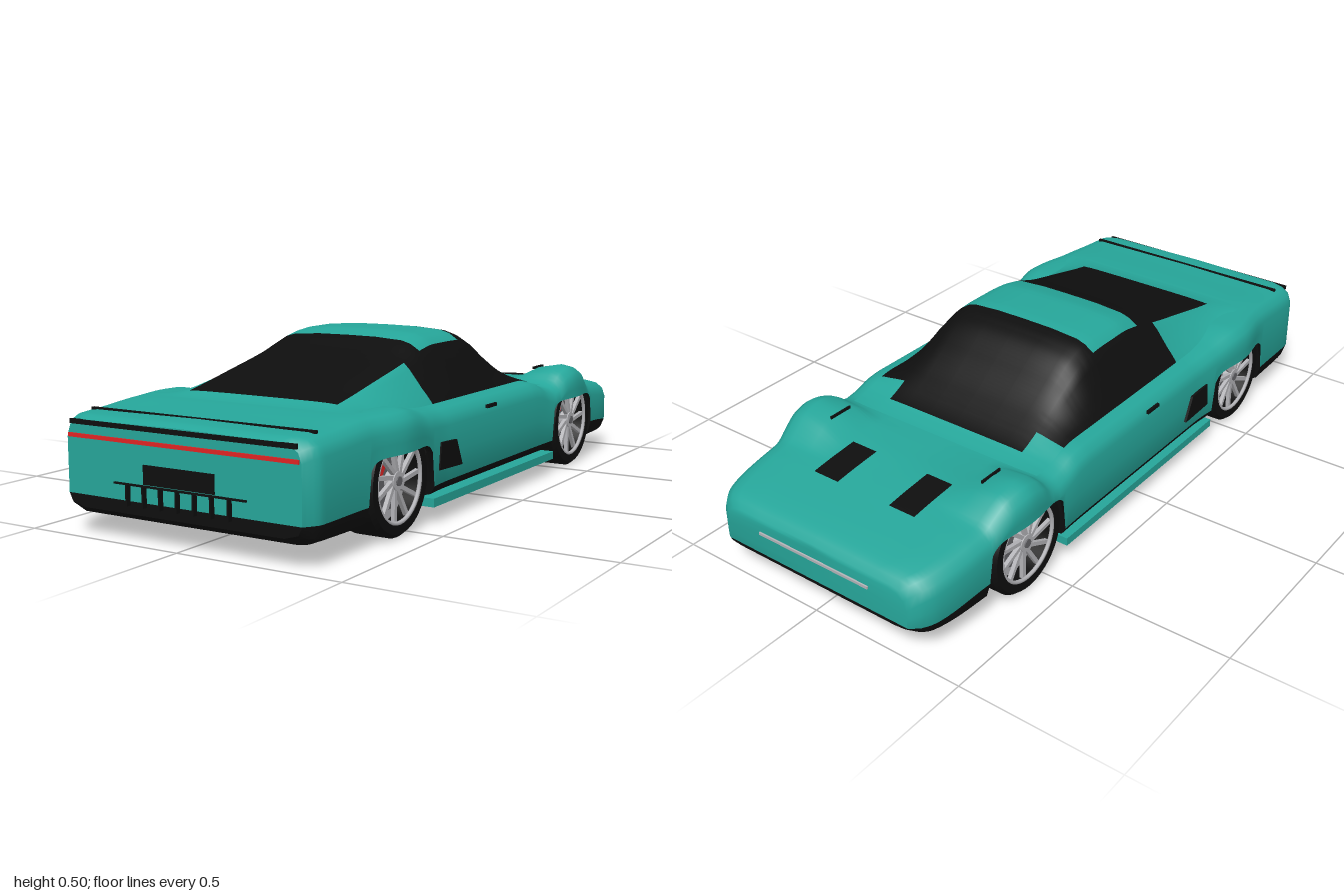
import * as THREE from 'three';
import { toCreasedNormals } from 'three/addons/utils/BufferGeometryUtils.js';

const mat = (name, color, side = THREE.FrontSide) => new THREE.MeshStandardMaterial({ name, color, side });
const teal = mat('teal paint', 0x26a69a, THREE.DoubleSide);
const black = mat('black trim', 0x0e0e0e, THREE.DoubleSide);
const red = mat('red', 0xe02424);
const silver = mat('silver', 0xb4b4b8);
const grey = mat('dark grey', 0x66666a);

// Smooth curve without overshoot through [z, value] pairs
function curve(p) {
  const slope = i => (p[i + 1][1] - p[i][1]) / (p[i + 1][0] - p[i][0]);
  const tangent = i => {
    if (i === 0 || i === p.length - 1) return slope(Math.min(i, p.length - 2));
    const a = slope(i - 1), b = slope(i);
    return a * b <= 0 ? 0 : 2 * a * b / (a + b);
  };
  return z => {
    let i = 0;
    while (i < p.length - 2 && z > p[i + 1][0]) i++;
    const h = p[i + 1][0] - p[i][0], t = THREE.MathUtils.clamp((z - p[i][0]) / h, 0, 1), u = 1 - t;
    return u * u * (1 + 2 * t) * p[i][1] + t * t * (3 - 2 * t) * p[i + 1][1]
      + h * t * u * (u * tangent(i) - t * tangent(i + 1));
  };
}

const width = curve([[-0.995, 0.33], [-0.98, 0.355], [-0.93, 0.385], [-0.85, 0.4], [-0.72, 0.41], [-0.58, 0.425],
  [-0.45, 0.414], [-0.3, 0.41], [0.3, 0.411], [0.42, 0.42], [0.57, 0.437], [0.72, 0.415], [0.94, 0.407], [0.985, 0.378]]);
const shoulder = curve([[-0.995, 0.205], [-0.98, 0.225], [-0.95, 0.238], [-0.8, 0.262], [-0.73, 0.272], [-0.69, 0.3],
  [-0.64, 0.33], [-0.58, 0.34], [-0.52, 0.325], [-0.47, 0.29], [-0.44, 0.283], [-0.4, 0.289], [-0.33, 0.311],
  [-0.28, 0.316], [0.3, 0.316], [0.42, 0.325], [0.55, 0.346], [0.7, 0.345], [0.85, 0.335], [0.96, 0.328], [0.985, 0.318]]);
const deck = curve([[-0.995, 0.207], [-0.98, 0.227], [-0.95, 0.24], [-0.8, 0.264], [-0.7, 0.276], [-0.58, 0.284],
  [-0.44, 0.284], [-0.4, 0.289], [-0.33, 0.311], [-0.28, 0.316], [0.3, 0.316], [0.42, 0.32], [0.57, 0.332],
  [0.68, 0.345], [0.85, 0.336], [0.96, 0.329], [0.985, 0.319]]);
const bottom = curve([[-0.995, 0.09], [-0.95, 0.065], [-0.76, 0.055], [-0.74, 0.055], [-0.42, 0.075], [0.41, 0.075],
  [0.73, 0.05], [0.9, 0.053], [0.96, 0.062], [0.985, 0.08]]);
const trimTop = curve([[-0.995, 0.1], [-0.75, 0.125], [-0.42, 0.11], [0.41, 0.11], [0.74, 0.118], [0.985, 0.115]]);
const roof = curve([[-0.46, 0.285], [-0.4, 0.3], [-0.3, 0.352], [-0.2, 0.425], [-0.12, 0.48], [-0.06, 0.5], [0, 0.505],
  [0.1, 0.505], [0.18, 0.492], [0.28, 0.458], [0.45, 0.41], [0.6, 0.367], [0.66, 0.352], [0.7, 0.345]]);

const axles = [0.57, -0.58];
// Height of the wheel opening, 0 away from the wheels
function arch(z) {
  for (const c of axles) {
    const t = Math.abs(z - c) / 0.165;
    if (t < 1) return 0.235 - 0.04 * t ** 8;
  }
  return 0;
}

// Skin over rows of points; colour(i, j) gives 0 teal, 1 black, -1 open
function skin(name, rows, colour) {
  const n = rows[0].length, faces = [[], []];
  for (let i = 0; i < rows.length - 1; i++) for (let j = 0; j < n - 1; j++) {
    const c = colour(i, j);
    if (c < 0) continue;
    const a = i * n + j, b = a + 1, d = a + n, e = d + 1;
    faces[c].push(a, b, d, b, e, d);
  }
  let g = new THREE.BufferGeometry();
  g.setAttribute('position', new THREE.Float32BufferAttribute(rows.flat(2), 3));
  g.setIndex([...faces[0], ...faces[1]]);
  g.addGroup(0, faces[0].length, 0);
  g.addGroup(faces[0].length, faces[1].length, 1);
  g = toCreasedNormals(g, 0.7);
  const m = new THREE.Mesh(g, [teal, black]);
  m.name = name;
  return m;
}
const mirrored = half => [...half, ...half.slice(0, -1).reverse().map(([x, y, z]) => [-x, y, z])];

function bodySection(z) {
  const w = width(z), s = shoulder(z), d = deck(z), b = bottom(z), a = arch(z), t = trimTop(z);
  const lift = y => Math.max(y, a), top = lift(s - 0.05), low = lift(t);
  return mirrored([
    [0, b, z], [a ? w - 0.02 : w * 0.86, lift(b), z], [a ? w - 0.01 : w * 0.97, lift(b + (t - b) * 0.35), z],
    [w, low, z], [w, (low + top) / 2, z], [w, top, z], [w - 0.01, s - 0.022, z], [w - 0.033, s - 0.006, z],
    [w - 0.065, s, z], [w - 0.14, d + (s - d) * 0.75, z], [w - 0.22, d, z], [0, d + 0.002, z]]);
}

function createBody() {
  const zs = [-0.995, -0.99];
  for (let k = -78; k <= 78; k++) zs.push(k * 0.0125);
  zs.push(0.98, 0.985);
  const rows = zs.map(bodySection), n = rows[0].length;
  // Flat ends: close each end section onto the centre line
  const flat = row => row.map(([, y, z]) => [0, y, z]);
  rows.unshift(flat(rows[0]));
  rows.push(flat(rows[rows.length - 1]));
  return skin('body', rows, (i, j) => {
    const k = Math.min(j, n - 2 - j);
    if (k === 0 && (arch(rows[i][0][2]) || arch(rows[i + 1][0][2]))) return -1;
    return k < 3 ? 1 : 0;
  });
}

function createCabin() {
  const xs = [0.345, 0.33, 0.31, 0.27, 0.25, 0.22, 0.19, 0.1, 0];
  const rise = [0, 0.14, 0.3, 0.66, 0.8, 0.91, 0.96, 0.995, 1];
  const rows = [];
  for (let k = -46; k <= 70; k++) {
    const z = k / 100, base = deck(z) + 0.002, h = Math.max(roof(z) - base, 0);
    rows.push(mirrored(xs.map((x, i) => [x, base + h * rise[i], z])));
  }
  return skin('cabin', rows, (i, j) => {
    const k = i - 46, side = Math.min(j, 15 - j) < 4;
    if (side) return k >= -33 && k < 28 ? 1 : 0;
    return (k >= -40 && k < -5) || (k >= 19 && k < 63) ? 1 : 0;
  });
}

// Wheel with its outer face towards +x
function createWheel(side) {
  const g = new THREE.Group();
  g.name = 'wheel';
  const add = (name, geo, m, x = 0, y = 0, z = 0) => {
    const o = new THREE.Mesh(geo, m);
    o.name = name;
    o.position.set(x, y, z);
    g.add(o);
    return o;
  };
  const drum = (r, l) => new THREE.CylinderGeometry(r, r, l, 40).rotateZ(-Math.PI / 2);
  const profile = [[0.118, -0.06], [0.143, -0.06], [0.153, -0.048], [0.153, 0.048], [0.143, 0.06], [0.118, 0.06], [0.118, -0.06]];
  const tyre = new THREE.LatheGeometry(profile.map(p => new THREE.Vector2(...p)), 48).rotateZ(-Math.PI / 2);
  add('tyre', toCreasedNormals(tyre, 0.6), black);
  add('rimBack', drum(0.1185, 0.06), silver, -0.025);
  add('brakeDisc', drum(0.085, 0.01), grey, 0.012);
  add('rimLip', new THREE.TorusGeometry(0.114, 0.006, 8, 48).rotateY(Math.PI / 2), silver, 0.054);
  add('hub', drum(0.026, 0.03), silver, 0.038);
  add('hubCap', drum(0.013, 0.006), grey, 0.054);
  add('brakeCaliper', new THREE.BoxGeometry(0.016, 0.04, 0.032), red, 0.026, 0.04, 0.058 * side).rotation.x = -0.65 * side;
  for (let i = 0; i < 11; i++) {
    const spoke = new THREE.Group();
    spoke.name = 'spoke';
    const bar = new THREE.Mesh(new THREE.BoxGeometry(0.012, 0.098, 0.012), silver);
    bar.position.set(0.044, 0.066, 0.01);
    bar.rotation.x = 0.28;
    spoke.add(bar);
    spoke.rotation.x = i * Math.PI * 2 / 11;
    g.add(spoke);
  }
  return g;
}

export function createModel() {
  const car = new THREE.Group();
  car.name = 'sportsCar';
  const box = (name, m, sx, sy, sz, x, y, z) => {
    const o = new THREE.Mesh(new THREE.BoxGeometry(sx, sy, sz), m);
    o.name = name;
    o.position.set(x, y, z);
    car.add(o);
    return o;
  };
  car.add(createBody(), createCabin());

  // Underside
  box('floor', black, 0.74, 0.02, 0.81, 0, 0.065, -0.005);
  for (const z of axles) box('axleFloor', teal, 0.52, 0.03, 0.35, 0, 0.1, z);

  for (const s of [1, -1]) {
    // Wheels and the liners behind them
    for (const z of axles) {
      const wheel = createWheel(s);
      wheel.position.set(s * 0.35, 0.155, z);
      if (s < 0) wheel.rotation.y = Math.PI;
      car.add(wheel);
      box('wheelLiner', black, 0.01, 0.2, 0.33, s * 0.27, 0.165, z);
    }
    // Side details
    box('sill', teal, 0.05, 0.025, 0.81, s * 0.392, 0.063, -0.005);
    box('doorHandle', black, 0.008, 0.01, 0.06, s * 0.411, 0.288, 0.04).geometry.computeBoundingBox();
    const vent = new THREE.Shape([[-0.37, 0.15], [-0.235, 0.145], [-0.27, 0.222], [-0.36, 0.227]].map(p => new THREE.Vector2(...p)));
    const sideVent = new THREE.Mesh(new THREE.ExtrudeGeometry(vent, { depth: 0.008, bevelEnabled: false }).rotateY(Math.PI / 2), black);
    sideVent.name = 'sideVent';
    sideVent.position.x = s > 0 ? 0.411 : -0.419;
    car.add(sideVent);
    // Hood vents following the hood
    const rows = [];
    for (let k = -79; k <= -63; k++) {
      const z = k / 100, y = deck(z) + 0.005;
      rows.push([[s * 0.14 + 0.045, y, z], [s * 0.14 - 0.045, y, z]]);
    }
    car.add(skin('hoodVent', rows, () => 1));
    box('fenderSlot', black, 0.005, 0.008, 0.08, s * 0.28, 0.327, -0.58);
  }

  // Tail panel
  box('deckLine', black, 0.73, 0.008, 0.01, 0, 0.333, 0.9);
  box('tailStripe', black, 0.73, 0.013, 0.008, 0, 0.311, 0.985);
  box('tailLight', red, 0.745, 0.011, 0.009, 0, 0.274, 0.985);
  box('tailPlate', black, 0.23, 0.052, 0.008, 0, 0.191, 0.985);
  box('diffuserBar', black, 0.43, 0.005, 0.009, 0, 0.16, 0.986);
  for (let i = -3; i <= 3; i++) box('diffuserFin', black, 0.005, 0.056, 0.016, i * 0.055, 0.132, 0.992);

  // Nose strip
  box('noseLight', silver, 0.4, 0.008, 0.008, 0, 0.172, -0.996);
  return car;
}
